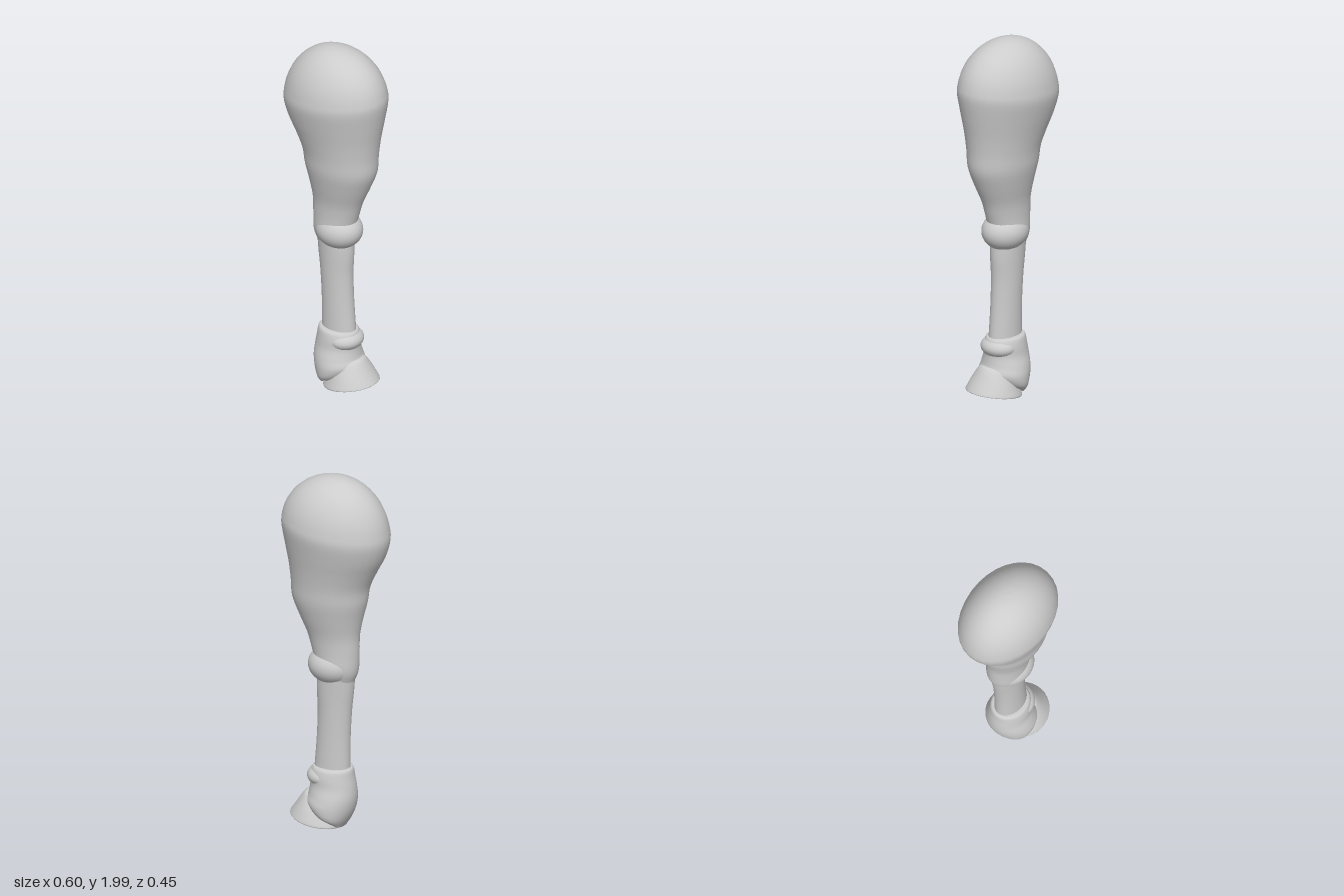
import * as THREE from 'three';

const SIDES = 32;

// Lofts elliptical rings, listed top to bottom as [backX, backY, frontX, frontY, halfDepth]
function loft(rows, steps) {
  const curve = (i) => new THREE.CatmullRomCurve3(
    rows.map((r) => new THREE.Vector3(r[i], r[i + 1], r[4])), false, 'catmullrom');
  const back = curve(0), front = curve(2);
  const pos = [], index = [];
  const addRing = (t) => {
    const b = back.getPoint(t), f = front.getPoint(t);
    for (let s = 0; s < SIDES; s++) {
      const a = (s / SIDES) * Math.PI * 2;
      const k = (1 + Math.cos(a)) / 2;
      pos.push(b.x + (f.x - b.x) * k, b.y + (f.y - b.y) * k, b.z * Math.sin(a));
    }
    return [(b.x + f.x) / 2, (b.y + f.y) / 2, 0];
  };
  for (let i = 0; i <= steps; i++) addRing(i / steps);
  for (let i = 0; i < steps; i++) {
    for (let s = 0; s < SIDES; s++) {
      const p = i * SIDES + s, q = i * SIDES + (s + 1) % SIDES;
      index.push(p, q, p + SIDES, q, q + SIDES, p + SIDES);
    }
  }
  // Flat end caps with their own vertices keep the rims crisp
  for (const t of [0, 1]) {
    const start = pos.length / 3;
    pos.push(...addRing(t));
    for (let s = 0; s < SIDES; s++) {
      const p = start + s, q = start + (s + 1) % SIDES;
      index.push(start + SIDES, t ? p : q, t ? q : p);
    }
  }
  const geo = new THREE.BufferGeometry();
  geo.setAttribute('position', new THREE.Float32BufferAttribute(pos, 3));
  geo.setIndex(index);
  geo.computeVertexNormals();
  return geo;
}

export function createModel() {
  const model = new THREE.Group();
  model.name = 'hoofedLeg';
  const grey = new THREE.MeshStandardMaterial({ color: 0xcccccc });
  grey.name = 'light grey';

  const add = (name, geometry) => {
    const mesh = new THREE.Mesh(geometry, grey);
    mesh.name = name;
    model.add(mesh);
    return mesh;
  };
  const ball = (name, x, y, rx, ry, rz) => {
    const mesh = add(name, new THREE.SphereGeometry(1, SIDES, 20));
    mesh.position.set(x, y, 0);
    mesh.scale.set(rx, ry, rz);
    return mesh;
  };

  // Upper leg: slightly tilted dome flowing into a tapering, muscled shaft
  const dome = [];
  for (let i = 0; i <= 8; i++) {
    const a = (1 - i / 8) * Math.PI / 2;
    const c = Math.max(Math.cos(a), 0.002), s = Math.sin(a);
    dome.push([-0.3 * c, 1.66 + 0.34 * s, 0.3 * c, 1.72 + 0.28 * s, 0.225 * c]);
  }
  add('upperLeg', loft([
    ...dome,
    [-0.275, 1.57, 0.282, 1.61, 0.205],
    [-0.23, 1.48, 0.262, 1.5, 0.182],
    [-0.19, 1.39, 0.25, 1.4, 0.165],
    [-0.175, 1.3, 0.243, 1.3, 0.155],
    [-0.15, 1.2, 0.205, 1.2, 0.132],
    [-0.132, 1.1, 0.16, 1.1, 0.108],
    [-0.13, 1.0, 0.135, 1.02, 0.1],
    [-0.125, 0.9, 0.11, 0.94, 0.097],
    [-0.1, 0.83, 0.06, 0.86, 0.07],
  ], 68));

  // Knee joint
  ball('knee', 0.02, 0.92, 0.132, 0.105, 0.118);

  // Lower leg
  add('cannon', loft([
    [-0.107, 0.88, 0.1, 0.88, 0.083],
    [-0.1, 0.78, 0.105, 0.78, 0.078],
    [-0.088, 0.66, 0.1, 0.66, 0.073],
    [-0.08, 0.5, 0.106, 0.5, 0.07],
    [-0.08, 0.3, 0.122, 0.3, 0.07],
  ], 16));

  // Ankle and heel
  add('pastern', loft([
    [-0.07, 0.342, 0.11, 0.338, 0.07],
    [-0.093, 0.335, 0.128, 0.33, 0.093],
    [-0.102, 0.29, 0.142, 0.29, 0.105],
    [-0.112, 0.23, 0.138, 0.24, 0.112],
    [-0.115, 0.17, 0.145, 0.19, 0.129],
    [-0.105, 0.11, 0.155, 0.14, 0.14],
    [-0.083, 0.055, 0.1, 0.08, 0.13],
    [-0.055, 0.008, 0.0, 0.045, 0.085],
  ], 35));
  ball('fetlock', 0.06, 0.28, 0.097, 0.06, 0.104);

  // Hoof flaring to a tilted flat sole
  add('hoof', loft([
    [0.02, 0.135, 0.155, 0.185, 0.075],
    [0.01, 0.125, 0.175, 0.173, 0.092],
    [-0.015, 0.08, 0.212, 0.118, 0.122],
    [-0.048, 0.02, 0.248, 0.064, 0.146],
    [-0.048, 0.006, 0.25, 0.055, 0.146],
  ], 16));

  // Stand exactly on the ground
  const box = new THREE.Box3().setFromObject(model, true);
  model.children.forEach((m) => { m.position.y -= box.min.y; });
  return model;
}
